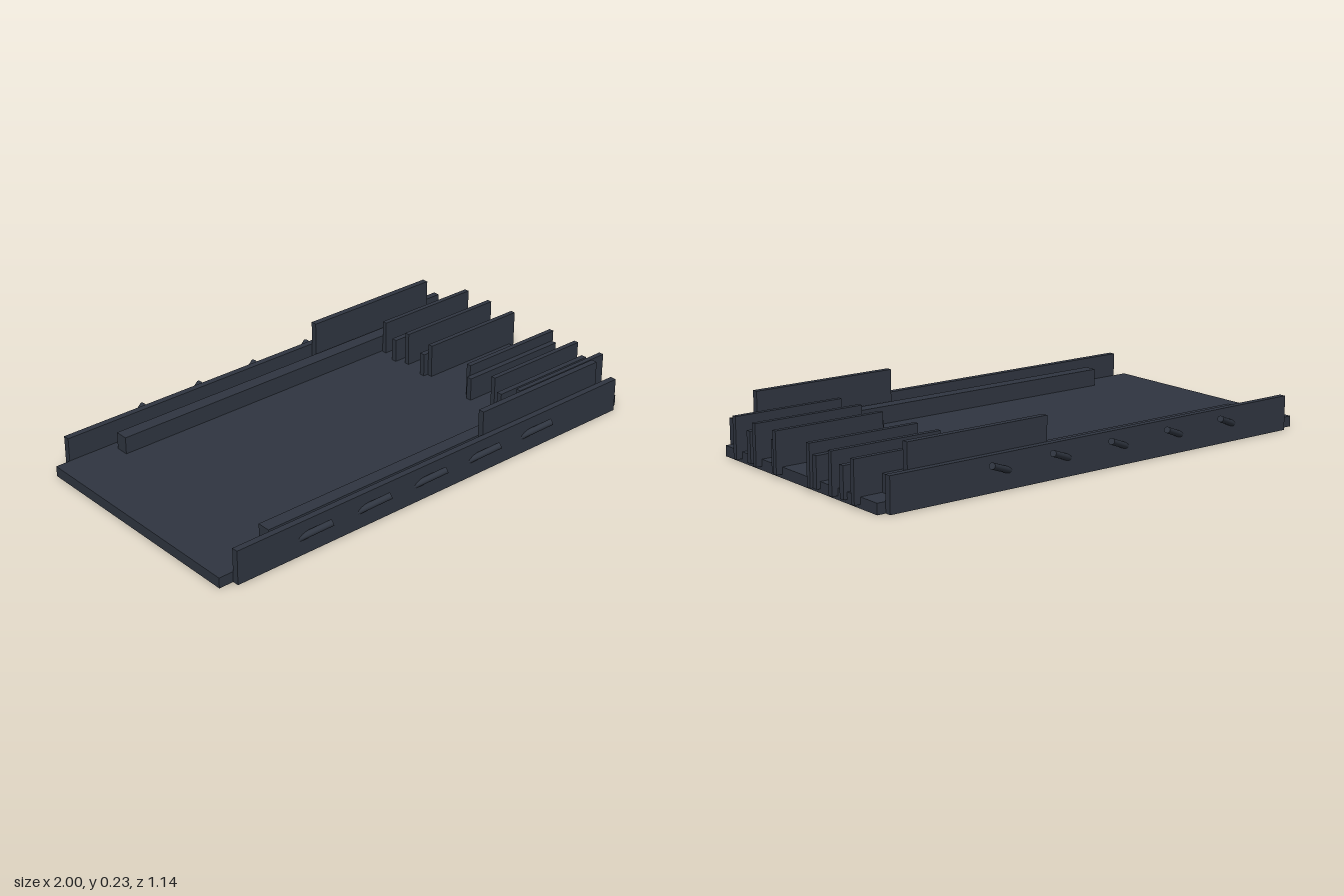
import * as THREE from 'three';

export function createModel() {
  const model = new THREE.Group();
  const material = new THREE.MeshStandardMaterial({ color: 0x2f3540 });

  // Box given by its extents on each axis
  function block(name, x0, x1, y0, y1, z0, z1) {
    const mesh = new THREE.Mesh(new THREE.BoxGeometry(x1 - x0, y1 - y0, z1 - z0), material);
    mesh.position.set((x0 + x1) / 2, (y0 + y1) / 2, (z0 + z1) / 2);
    mesh.name = name;
    model.add(mesh);
  }
  // The same block on both sides of the deck
  function pair(name, x0, x1, y0, y1, z0, z1) {
    block(name + 'Front', x0, x1, y0, y1, z0, z1);
    block(name + 'Back', x0, x1, y0, y1, -z1, -z0);
  }

  // Deck with its side walls, raised plates and inner rails
  block('deck', -1, 0.975, 0, 0.042, -0.492, 0.492);
  pair('sideWall', -0.94, 0.94, 0, 0.137, 0.492, 0.518);
  pair('raisedPlate', 0.24, 0.85, 0.04, 0.234, 0.468, 0.493);
  pair('innerRail', -0.75, 0.886, 0.04, 0.111, 0.397, 0.451);

  // Upright fins at the +x end
  for (const z of [0.11, 0.247, 0.383]) {
    pair('tallFin', 0.535, 1, 0.015, 0.178, z - 0.01, z + 0.01);
  }
  for (const z of [0.135, 0.302]) {
    pair('shortFin', 0.515, 0.99, 0.015, 0.137, z - 0.0115, z + 0.0115);
  }

  // Slanted rods leaning out of the side walls
  const up = new THREE.Vector3(0, 1, 0);
  for (const side of [1, -1]) {
    for (let i = 0; i < 5; i++) {
      const x = -0.55 + i * 0.2725;
      const start = new THREE.Vector3(x - 0.125, 0.063, side * 0.503);
      const end = new THREE.Vector3(x, 0.112, side * 0.56);
      const axis = end.clone().sub(start);
      const rod = new THREE.Mesh(new THREE.CylinderGeometry(0.0125, 0.0125, axis.length(), 12), material);
      rod.position.copy(start).add(end).multiplyScalar(0.5);
      rod.quaternion.setFromUnitVectors(up, axis.normalize());
      rod.name = side > 0 ? 'rodFront' : 'rodBack';
      model.add(rod);
    }
  }
  return model;
}
